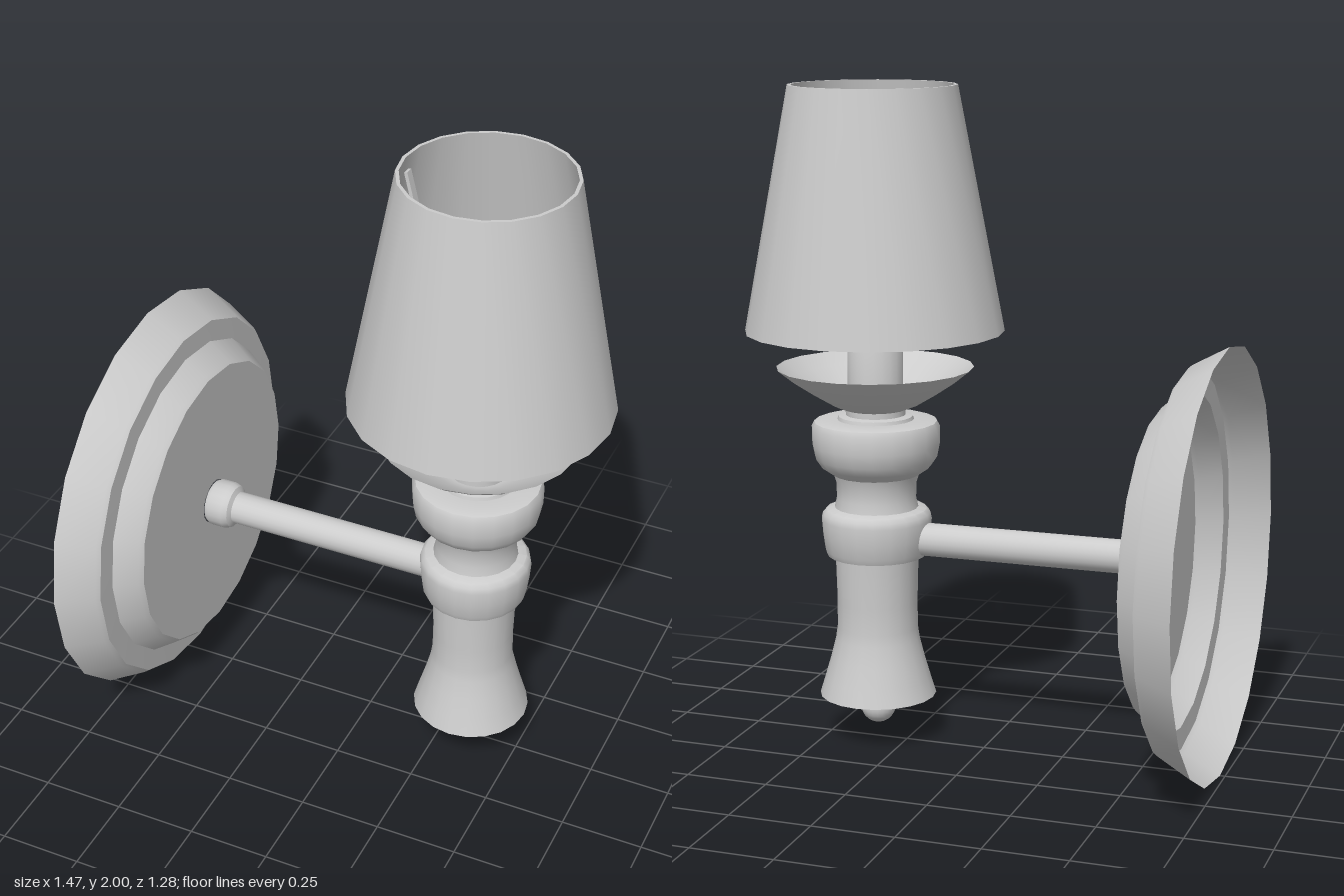
import * as THREE from 'three';
import { toCreasedNormals } from 'three/addons/utils/BufferGeometryUtils.js';

const grey = new THREE.MeshStandardMaterial({ color: 0xcccccc, side: THREE.DoubleSide });

// Turned part: profile of [radius, height] points, bottom to top
function turned(name, profile, segments = 20) {
  const points = profile.map(([r, y]) => new THREE.Vector2(r, y));
  const geometry = toCreasedNormals(new THREE.LatheGeometry(points, segments), 0.6);
  const mesh = new THREE.Mesh(geometry, grey);
  mesh.name = name;
  return mesh;
}

export function createModel() {
  const model = new THREE.Group();
  model.name = 'wallLamp';

  // Wall mount, turned about the x axis
  const mount = new THREE.Group();
  mount.name = 'wallMount';
  mount.rotation.z = -Math.PI / 2;
  mount.position.y = 0.645;
  mount.add(
    // Hollow stepped plate, open at the back with a hole for the arm
    turned('backPlate', [
      [0.64, -0.735], [0.582, -0.628], [0.572, -0.616], [0.505, -0.614],
      [0.462, -0.55], [0.45, -0.538], [0.07, -0.538],
    ]),
    turned('armCollar', [
      [0.066, -0.538], [0.073, -0.525], [0.073, -0.48], [0.066, -0.462], [0.05, -0.454],
    ]),
    turned('arm', [[0.05, -0.538], [0.05, 0.25]]),
  );
  model.add(mount);

  // Everything on the upright axis of the lamp
  const lamp = new THREE.Group();
  lamp.name = 'lamp';
  lamp.position.x = 0.343;
  model.add(lamp);

  lamp.add(
    turned('stem', [
      [0, 0.148], [0.178, 0.148], [0.162, 0.2], [0.143, 0.265], [0.128, 0.325],
      [0.123, 0.36], [0.122, 0.44], [0.126, 0.585],
    ]),
    turned('middleRing', [
      [0.12, 0.585], [0.15, 0.588], [0.157, 0.605], [0.163, 0.65], [0.167, 0.7],
      [0.163, 0.718], [0.152, 0.73], [0.12, 0.738],
    ]),
    turned('upperKnob', [
      [0.128, 0.73], [0.12, 0.765], [0.121, 0.81], [0.13, 0.838], [0.165, 0.862],
      [0.184, 0.89], [0.192, 0.93], [0.193, 0.985], [0.185, 1.0], [0.165, 1.006],
      [0.115, 1.006], [0.112, 1.016], [0.09, 1.02], [0.09, 1.05],
    ]),
    // Open drip dish with a thin rim
    turned('dish', [
      [0, 1.038], [0.095, 1.038], [0.13, 1.052], [0.19, 1.088], [0.25, 1.128], [0.296, 1.165],
    ]),
    turned('socket', [[0.083, 1.04], [0.083, 1.285], [0.075, 1.3], [0, 1.3]]),
    turned('bulb', [
      [0.04, 1.3], [0.038, 1.33], [0.05, 1.38], [0.066, 1.43], [0.07, 1.48],
      [0.063, 1.54], [0.045, 1.6], [0.024, 1.65], [0, 1.68],
    ]),
    // Shade: outer wall, rim and inner wall
    turned('shade', [
      [0.378, 1.275], [0.387, 1.275], [0.25, 2], [0.24, 2], [0.378, 1.275],
    ]),
  );

  // Ball finial below the stem
  const finial = new THREE.Mesh(new THREE.SphereGeometry(0.054, 20, 14), grey);
  finial.name = 'finial';
  finial.position.y = 0.106;
  lamp.add(finial);

  // Two slanted strips holding the shade
  for (const side of [-1, 1]) {
    const low = new THREE.Vector2(side * 0.075, 1.28);
    const high = new THREE.Vector2(side * 0.242, 1.95);
    const span = high.clone().sub(low);
    const strip = new THREE.Mesh(new THREE.BoxGeometry(0.01, span.length(), 0.026), grey);
    strip.name = side > 0 ? 'leftShadeSupport' : 'rightShadeSupport';
    strip.position.set((low.x + high.x) / 2, (low.y + high.y) / 2, -0.017);
    strip.rotation.z = -Math.atan2(span.x, span.y);
    lamp.add(strip);
  }

  return model;
}
